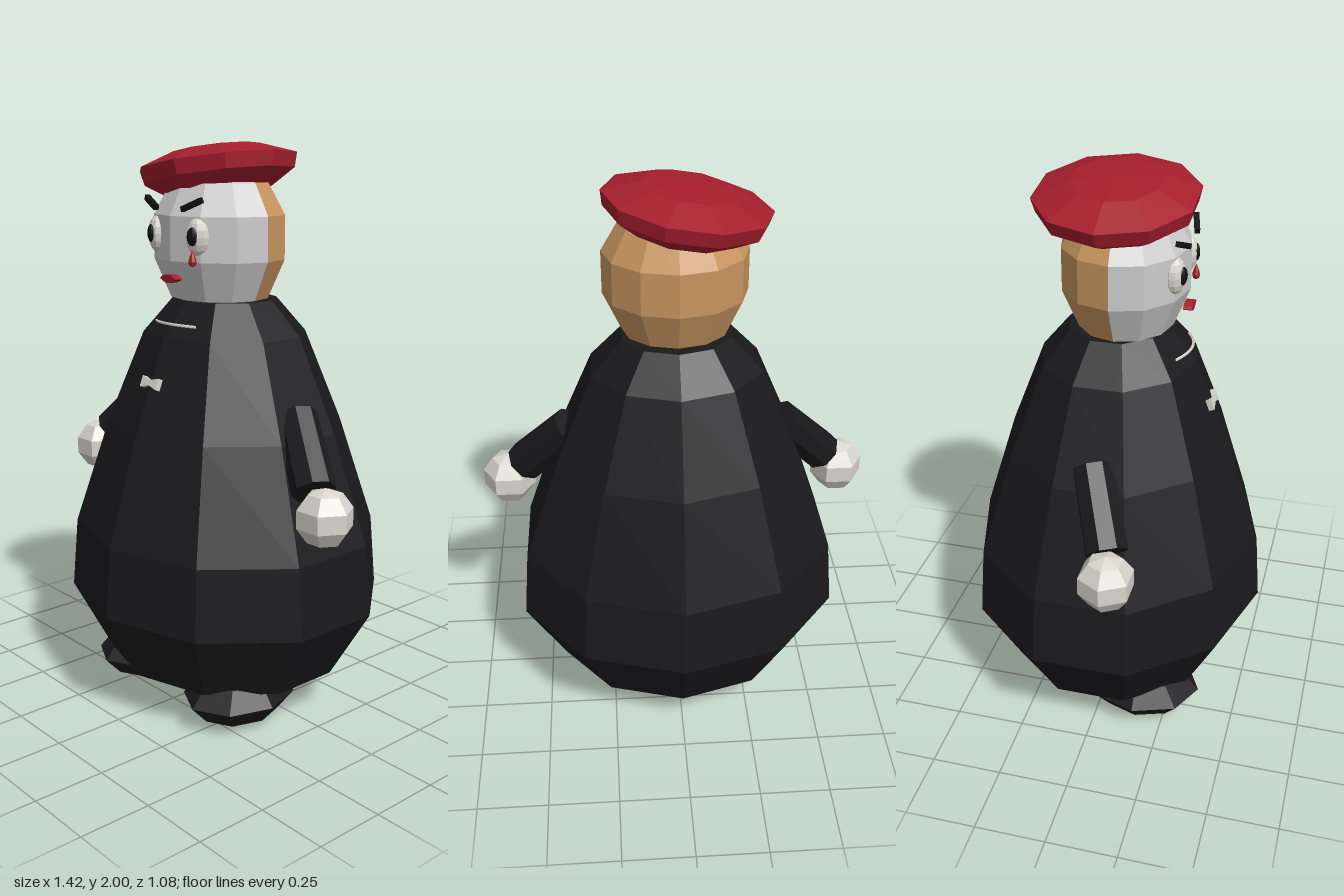
import * as THREE from 'three';

const mat = (color) => new THREE.MeshStandardMaterial({ color, flatShading: true, side: THREE.DoubleSide });
const V = (x, y, z) => new THREE.Vector3(x, y, z);

export function createModel() {
  const group = new THREE.Group();
  const black = mat(0x1a1a1d), red = mat(0xa51e2d), white = mat(0xd8d6cd);
  const faceGrey = mat(0xc2c2c2), hairBrown = mat(0xc89660), ink = mat(0x111113);

  const add = (name, geometry, material, pos = [0, 0, 0], scale = [1, 1, 1], parent = group) => {
    const mesh = new THREE.Mesh(geometry, material);
    mesh.name = name;
    mesh.position.set(...pos);
    mesh.scale.set(...scale);
    parent.add(mesh);
    return mesh;
  };
  const lathe = (pts, segments, start = 0, length = Math.PI * 2) =>
    new THREE.LatheGeometry(pts.map(([r, y]) => new THREE.Vector2(r, y)), segments, start, length);

  // Bell-shaped ten-sided body
  add('body', lathe([
    [0, 0.145], [0.405, 0.145], [0.54, 0.4], [0.52, 0.65], [0.4, 1.03], [0.275, 1.35], [0.175, 1.47], [0, 1.47],
  ], 10), black, [0, 0, 0], [1.12, 1, 1]);

  // Head: pale face in front, brown hair behind
  const headProfile = [[0, 1.43], [0.185, 1.475], [0.247, 1.61], [0.247, 1.76], [0.185, 1.865], [0, 1.92]];
  add('face', lathe(headProfile, 6, -Math.PI / 2, Math.PI), faceGrey, [0, 0, 0.025], [1, 1, 0.88]);
  add('hair', lathe(headProfile, 6, Math.PI / 2, Math.PI), hairBrown, [0, 0, 0.025], [1, 1, 0.89]);

  // Tilted beret
  const beret = add('beret', lathe([
    [0, -0.1], [0.19, -0.1], [0.272, -0.05], [0.285, 0], [0.16, 0.045], [0, 0.06],
  ], 10, Math.PI / 2), red, [-0.04, 1.932, 0], [1, 1, 0.97]);
  beret.rotation.z = 0.155;

  // Features and limbs that repeat on each side
  const ball = new THREE.SphereGeometry(1, 10, 8);
  for (const s of [-1, 1]) {
    const side = s > 0 ? 'left' : 'right';
    const eye = new THREE.Group();
    eye.name = side + 'Eye';
    eye.position.set(s * 0.108, 1.695, 0.212);
    eye.rotation.y = s * 0.35;
    group.add(eye);
    add(side + 'EyeWhite', ball, white, [0, 0, 0], [0.043, 0.063, 0.03], eye);
    add(side + 'Pupil', ball, ink, [-s * 0.006, 0.002, 0.024], [0.022, 0.031, 0.012], eye);

    const brow = add(side + 'Eyebrow', new THREE.BoxGeometry(0.085, 0.018, 0.018), ink, [s * 0.107, 1.8, 0.235]);
    brow.rotation.set(0, s * 0.25, s * 0.38);

    // Sleeve running from shoulder to wrist
    const top = V(s * 0.375, 1.105, 0.005), wrist = V(s * 0.555, 0.9, 0.1);
    const dir = wrist.clone().sub(top);
    const arm = add(side + 'Arm', new THREE.CylinderGeometry(0.07, 0.075, dir.length(), 8), black,
      top.clone().add(wrist).multiplyScalar(0.5).toArray());
    arm.quaternion.setFromUnitVectors(V(0, -1, 0), dir.normalize());

    add(side + 'Hand', new THREE.SphereGeometry(0.1, 6, 5), white, [s * 0.617, 0.83, 0.112]);
    add(side + 'Foot', new THREE.SphereGeometry(1, 8, 4), black, [s * 0.255, 0.1, 0.155], [0.175, 0.095, 0.215]);
  }

  // Red tear below the left eye
  add('tear', lathe([[0, -0.02], [0.011, -0.014], [0.014, -0.002], [0.009, 0.015], [0, 0.037]], 8), red,
    [0.112, 1.618, 0.238]);

  // Pointed lips
  const lip = new THREE.Shape();
  lip.moveTo(-0.042, 0);
  lip.quadraticCurveTo(-0.02, 0.017, 0, 0.012);
  lip.quadraticCurveTo(0.02, 0.017, 0.042, 0);
  lip.quadraticCurveTo(0, -0.03, -0.042, 0);
  add('lips', new THREE.ExtrudeGeometry(lip, { depth: 0.03, bevelEnabled: false, curveSegments: 5 }), red,
    [0, 1.552, 0.225]);

  // Thin collar line following the neck
  const collarCurve = new THREE.QuadraticBezierCurve3(V(-0.107, 1.396, 0.222), V(0, 1.402, 0.288), V(0.107, 1.396, 0.222));
  add('collar', new THREE.TubeGeometry(collarCurve, 12, 0.005, 6), white);

  // Bow on the chest
  const bow = new THREE.Shape([
    [-0.043, -0.02], [0, -0.009], [0.043, -0.02], [0.043, 0.02], [0, 0.009], [-0.043, 0.02],
  ].map(([x, y]) => new THREE.Vector2(x, y)));
  const bowMesh = add('bow', new THREE.ExtrudeGeometry(bow, { depth: 0.02, bevelEnabled: false }), white, [0, 1.2, 0.322]);
  bowMesh.rotation.x = -0.37;

  return group;
}
